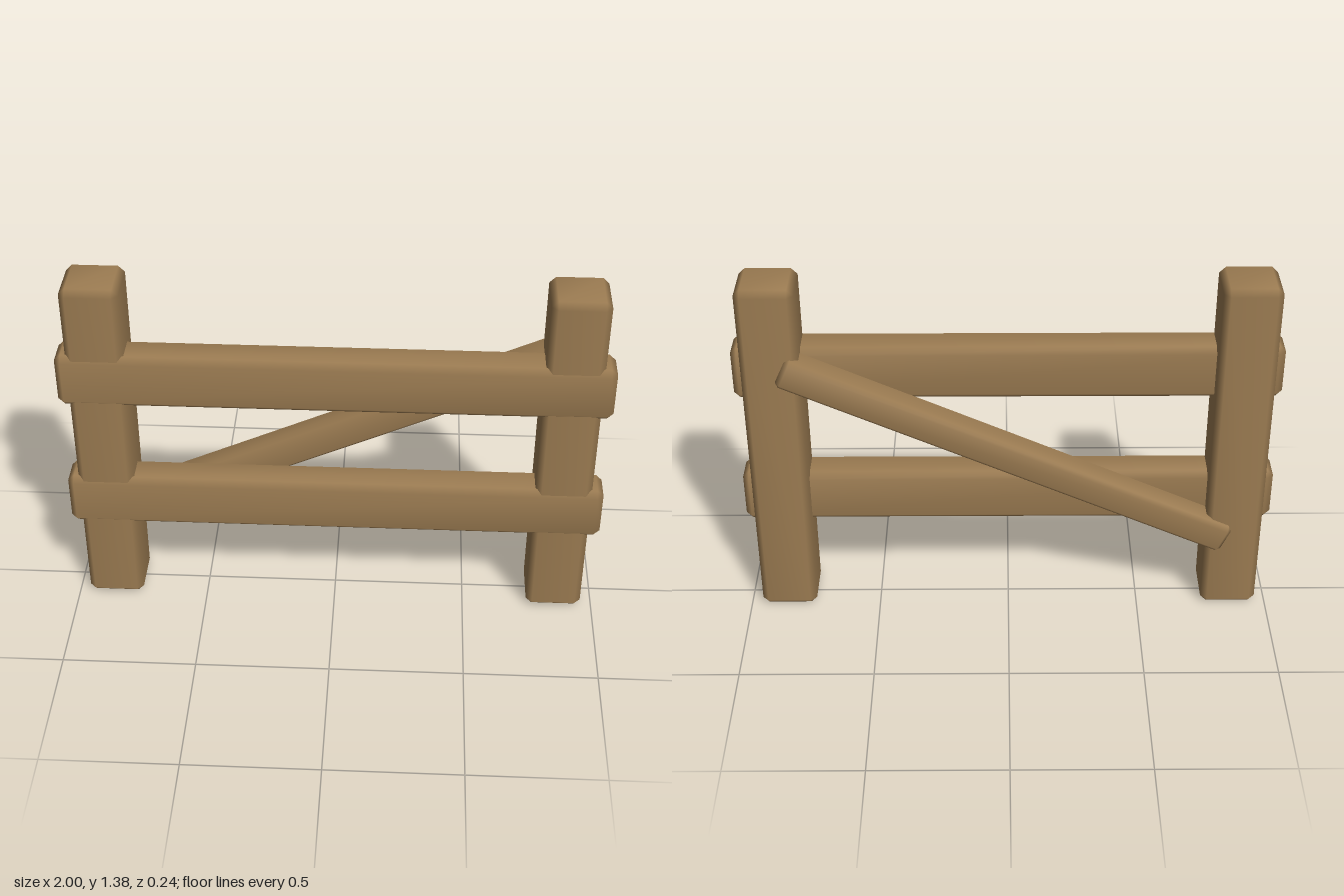
import * as THREE from 'three';
import { mergeVertices } from 'three/addons/utils/BufferGeometryUtils.js';
import { ConvexGeometry } from 'three/addons/geometries/ConvexGeometry.js';

// Box with chamfered edges and soft, area-weighted normals
function chamferBox(w, h, d, c) {
  const points = [];
  for (const sx of [-1, 1]) for (const sy of [-1, 1]) for (const sz of [-1, 1]) {
    for (let axis = 0; axis < 3; axis++) {
      const inset = [c, c, c];
      inset[axis] = 0;
      points.push(new THREE.Vector3(
        sx * (w / 2 - inset[0]), sy * (h / 2 - inset[1]), sz * (d / 2 - inset[2])));
    }
  }
  const hull = new ConvexGeometry(points);
  hull.deleteAttribute('normal');
  const geometry = mergeVertices(hull, 1e-4);
  geometry.computeVertexNormals();
  return geometry;
}

export function createModel() {
  const fence = new THREE.Group();
  fence.name = 'fence';
  const wood = new THREE.MeshStandardMaterial({ color: 0x9c7c52 });
  wood.name = 'wood';

  function beam(name, size, chamfer, position) {
    const mesh = new THREE.Mesh(chamferBox(...size, chamfer), wood);
    mesh.name = name;
    mesh.position.set(...position);
    fence.add(mesh);
    return mesh;
  }

  // Upright posts
  beam('leftPost', [0.21, 1.38, 0.21], 0.023, [0.852, 0.69, 0.01]);
  beam('rightPost', [0.21, 1.38, 0.21], 0.023, [-0.855, 0.69, 0.01]);

  // Horizontal rails set into the front of the posts
  beam('lowerRail', [2, 0.21, 0.144], 0.023, [0, 0.462, 0.05]);
  beam('upperRail', [2, 0.21, 0.144], 0.023, [0, 1.003, 0.05]);

  // Diagonal brace across the back
  const brace = beam('diagonalBrace', [1.8, 0.117, 0.117], 0.016, [-0.005, 0.691, -0.0635]);
  brace.rotation.z = THREE.MathUtils.degToRad(24.5);

  return fence;
}
